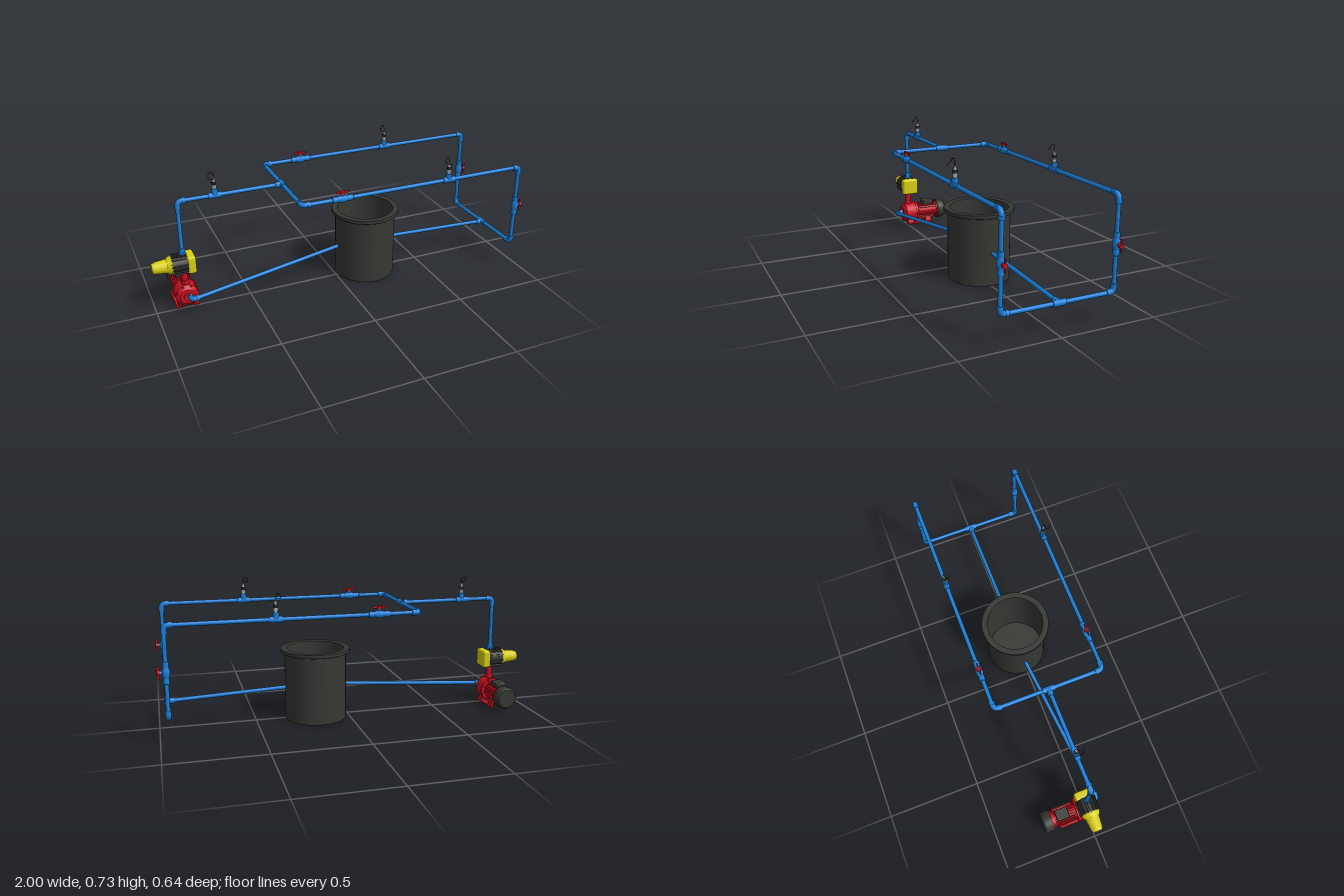
import * as THREE from 'three';
import { RoundedBoxGeometry } from 'three/addons/geometries/RoundedBoxGeometry.js';

const mat = (color, side = THREE.FrontSide) => new THREE.MeshStandardMaterial({ color, side });
const blue = mat(0x1a7fd8), red = mat(0xcc1020), yellow = mat(0xd8ce10);
const dark = mat(0x363833), black = mat(0x222222), steel = mat(0xb0b0b0);
const drumMat = mat(0x363833, THREE.DoubleSide);
const V = (x, y, z) => new THREE.Vector3(x, y, z);
const UP = V(0, 1, 0);

function add(parent, name, geometry, material, x = 0, y = 0, z = 0) {
  const mesh = new THREE.Mesh(geometry, material);
  mesh.name = name;
  mesh.position.set(x, y, z);
  parent.add(mesh);
  return mesh;
}

// Cylinder between two points, optionally tapered
function rod(parent, name, a, b, r, material = blue, r2 = r, sides = 20) {
  const dir = b.clone().sub(a);
  const mid = a.clone().add(b).multiplyScalar(0.5);
  const m = add(parent, name, new THREE.CylinderGeometry(r2, r, dir.length(), sides), material, ...mid);
  m.quaternion.setFromUnitVectors(UP, dir.normalize());
  return m;
}

const PIPE = 0.0105, SLEEVE = 0.0155;
const Y = 0.602, LOW = 0.146, XL = -0.3, XR = 0.955, XP = -0.84;
const ZC = -0.007, ZF = 0.283, ZB = -0.297;

// Rounded 90 degree bend at a corner, opening along directions a and b
function elbow(parent, c, a, b) {
  const g = new THREE.Group();
  g.name = 'elbow';
  const at = (d, s) => c.clone().addScaledVector(d, s);
  const bend = new THREE.QuadraticBezierCurve3(at(a, 0.027), c.clone(), at(b, 0.027));
  add(g, 'bend', new THREE.TubeGeometry(bend, 12, 0.0138, 18), blue);
  for (const d of [a, b]) rod(g, 'socket', at(d, 0.024), at(d, 0.04), SLEEVE);
  parent.add(g);
}

// Straight sleeve with a side branch
function tee(parent, c, run, branch) {
  const g = new THREE.Group();
  g.name = 'tee';
  const at = (d, s) => c.clone().addScaledVector(d, s);
  rod(g, 'sleeve', at(run, -0.033), at(run, 0.033), SLEEVE);
  rod(g, 'branch', c, at(branch, 0.036), SLEEVE);
  parent.add(g);
}

// Ball valve built along y with its handle on +x
function valve(parent, position, turn) {
  const g = new THREE.Group();
  g.name = 'valve';
  const profile = [[0, -0.055], [0.0145, -0.055], [0.0155, -0.053], [0.0155, -0.03], [0.0125, -0.027],
    [0.019, -0.013], [0.019, 0.013], [0.0125, 0.027], [0.0155, 0.03], [0.0155, 0.053], [0.0145, 0.055], [0, 0.055]]
    .map(p => new THREE.Vector2(...p));
  add(g, 'valveBody', new THREE.LatheGeometry(profile, 20), blue);
  rod(g, 'valveStem', V(0.015, 0, 0), V(0.03, 0, 0), 0.009);
  rod(g, 'handleHub', V(0.026, 0, 0), V(0.041, 0, 0), 0.012, red);
  add(g, 'handleBar', new RoundedBoxGeometry(0.012, 0.066, 0.006, 2, 0.002), red, 0.036, 0, 0);
  g.position.copy(position);
  g.rotation.z = turn;
  parent.add(g);
}

// Pressure sensor with hooked cable on a tee
function sensor(parent, x, z) {
  const g = new THREE.Group();
  g.name = 'sensor';
  tee(g, V(0, 0, 0), V(1, 0, 0), UP);
  const bands = [[0.036, 0.044, 0.009, steel, 20], [0.044, 0.053, 0.0135, steel, 6], [0.053, 0.057, 0.0105, steel, 20],
    [0.057, 0.074, 0.0115, black, 20], [0.074, 0.08, 0.009, steel, 20], [0.08, 0.086, 0.0085, steel, 6],
    [0.086, 0.091, 0.005, steel, 16]];
  for (const [y0, y1, r, m, n] of bands) rod(g, 'sensorBody', V(0, y0, 0), V(0, y1, 0), r, m, r, n);
  const cable = new THREE.CatmullRomCurve3([V(0, 0.088, 0), V(0, 0.11, 0), V(-0.011, 0.126, 0), V(-0.025, 0.117, 0.004),
    V(-0.028, 0.102, 0.013), V(-0.02, 0.098, 0.023), V(-0.006, 0.098, 0.037)]);
  add(g, 'cable', new THREE.TubeGeometry(cable, 30, 0.0018, 8), black);
  g.position.set(x, Y, z);
  parent.add(g);
}

function drum(parent) {
  const g = new THREE.Group();
  g.name = 'drum';
  const outline = (pts, name) => add(g, name, new THREE.LatheGeometry(pts.map(p => new THREE.Vector2(...p)), 56), drumMat);
  outline([[0.152, 0.02], [0.155, 0], [0.1635, 0], [0.1635, 0.001], [0.1635, 0.363]], 'drumWall');
  outline([[0.163, 0.363], [0.182, 0.363], [0.1835, 0.365], [0.1835, 0.381], [0.182, 0.383], [0.154, 0.383], [0.152, 0.381]], 'drumRim');
  outline([[0.152, 0.381], [0.152, 0.02]], 'drumLining');
  outline([[0.152, 0.02], [0, 0.02]], 'drumFloor');
  g.position.set(0.177, 0, -0.009);
  parent.add(g);
}

function pump(parent) {
  const g = new THREE.Group();
  g.name = 'pump';
  const y = 0.083;
  const along = (name, z0, z1, r, m, r2 = r, n = 28) => rod(g, name, V(0, y, z0), V(0, y, z1), r, m, r2, n);
  along('pumpHousing', -0.045, 0.02, 0.06, red);
  along('pumpFace', 0.02, 0.036, 0.06, red, 0.04);
  along('inletBoss', 0.03, 0.05, 0.022, red);
  along('housingFlange', -0.058, -0.045, 0.064, red);
  along('motorBody', -0.195, -0.055, 0.044, red);
  along('motorFlange', -0.2, -0.186, 0.051, red);
  along('fanCover', -0.234, -0.195, 0.059, dark);
  along('fanCoverEnd', -0.247, -0.234, 0.05, dark, 0.059);
  // Cooling fins around the motor
  for (let i = 0; i < 20; i++) {
    const a = i / 20 * Math.PI * 2;
    const fin = add(g, 'coolingFin', new THREE.BoxGeometry(0.014, 0.004, 0.11), red,
      Math.cos(a) * 0.045, y + Math.sin(a) * 0.045, -0.122);
    fin.rotation.z = a;
  }
  // Housing bolts
  for (let i = 0; i < 8; i++) {
    const a = (i + 0.5) / 8 * Math.PI * 2;
    const x = Math.cos(a) * 0.054, by = y + Math.sin(a) * 0.054;
    rod(g, 'housingBolt', V(x, by, -0.062), V(x, by, 0.026), 0.006, red, 0.006, 6);
  }
  // Feet
  for (const s of [-1, 1]) {
    for (const z of [-0.01, -0.13]) {
      const leg = add(g, 'leg', new THREE.BoxGeometry(0.012, 0.05, 0.04), red, s * 0.036, 0.037, z);
      leg.rotation.z = s * 0.3;
    }
    add(g, 'foot', new THREE.BoxGeometry(0.028, 0.008, 0.17), red, s * 0.044, 0.016, -0.07);
  }
  add(g, 'terminalBox', new RoundedBoxGeometry(0.06, 0.03, 0.07, 2, 0.006), dark, 0, 0.138, -0.135);
  // Outlet neck
  rod(g, 'outletNeck', V(0, 0.13, ZC), V(0, 0.215, ZC), 0.016, red);
  rod(g, 'outletCollar', V(0, 0.14, ZC), V(0, 0.165, ZC), 0.022, red, 0.022, 6);
  g.position.x = XP;
  parent.add(g);
}

function controller(parent) {
  const g = new THREE.Group();
  g.name = 'flowController';
  const along = (name, x0, x1, r, m, r2 = r) => rod(g, name, V(x0, 0, 0), V(x1, 0, 0), r, m, r2, 28);
  along('nozzleTip', -1, -0.985, 0.026, yellow, 0.03);
  along('nozzle', -0.985, -0.925, 0.031, yellow, 0.037);
  along('shoulder', -0.925, -0.9, 0.04, yellow, 0.052);
  along('core', -0.905, -0.822, 0.05, dark);
  for (let i = 0; i < 18; i++) {
    const a = i / 18 * Math.PI * 2;
    const rib = add(g, 'coreRib', new THREE.BoxGeometry(0.076, 0.012, 0.007), dark,
      -0.863, Math.cos(a) * 0.05, Math.sin(a) * 0.05);
    rib.rotation.x = a;
  }
  add(g, 'controlBox', new RoundedBoxGeometry(0.044, 0.096, 0.1, 3, 0.012), yellow, -0.804, 0, 0);
  rod(g, 'outletUnion', V(XP, 0.04, 0), V(XP, 0.085, 0), SLEEVE);
  rod(g, 'outletNut', V(XP, 0.048, 0), V(XP, 0.062, 0), 0.019, blue, 0.019, 6);
  g.position.set(0, 0.26, ZC);
  parent.add(g);
}

export function createModel() {
  const model = new THREE.Group();
  model.name = 'pumpLoop';
  const X = V(1, 0, 0), W = V(-1, 0, 0), DOWN = V(0, -1, 0), Z = V(0, 0, 1), N = V(0, 0, -1);
  const pipe = (name, a, b) => rod(model, name, a, b, PIPE);

  drum(model);
  pump(model);
  controller(model);

  // Riser and feed from the pump to the header
  pipe('riser', V(XP, 0.3, ZC), V(XP, Y - 0.025, ZC));
  elbow(model, V(XP, Y, ZC), DOWN, X);
  pipe('feedPipe', V(XP + 0.025, Y, ZC), V(XL, Y, ZC));
  tee(model, V(XL, Y, ZC), Z, W);
  pipe('header', V(XL, Y, ZB + 0.025), V(XL, Y, ZF - 0.025));

  // Two parallel runs with valves, falling to the return
  for (const [z, inward, sx] of [[ZF, N, 0.513], [ZB, Z, 0.43]]) {
    elbow(model, V(XL, Y, z), inward, X);
    pipe('upperRun', V(XL + 0.025, Y, z), V(XR - 0.025, Y, z));
    elbow(model, V(XR, Y, z), W, DOWN);
    pipe('downPipe', V(XR, Y - 0.025, z), V(XR, LOW + 0.025, z));
    elbow(model, V(XR, LOW, z), UP, inward);
    valve(model, V(-0.088, Y, z), Math.PI / 2);
    valve(model, V(XR, 0.375, z), 0);
    sensor(model, sx, z);
  }
  sensor(model, -0.652, ZC);

  // Return into the drum
  pipe('returnCrossPipe', V(XR, LOW, ZB + 0.025), V(XR, LOW, ZF - 0.025));
  tee(model, V(XR, LOW, ZC), Z, W);
  pipe('returnPipe', V(XR, LOW, ZC), V(0.33, 0.174, ZC));

  // Suction line from the drum to the pump inlet
  const inlet = V(-0.83, 0.086, 0.078), outlet = V(0.022, 0.174, -0.012);
  const slope = outlet.clone().sub(inlet).normalize();
  pipe('suctionPipe', inlet.clone().addScaledVector(slope, 0.025), outlet);
  elbow(model, inlet, N, slope);
  return model;
}
